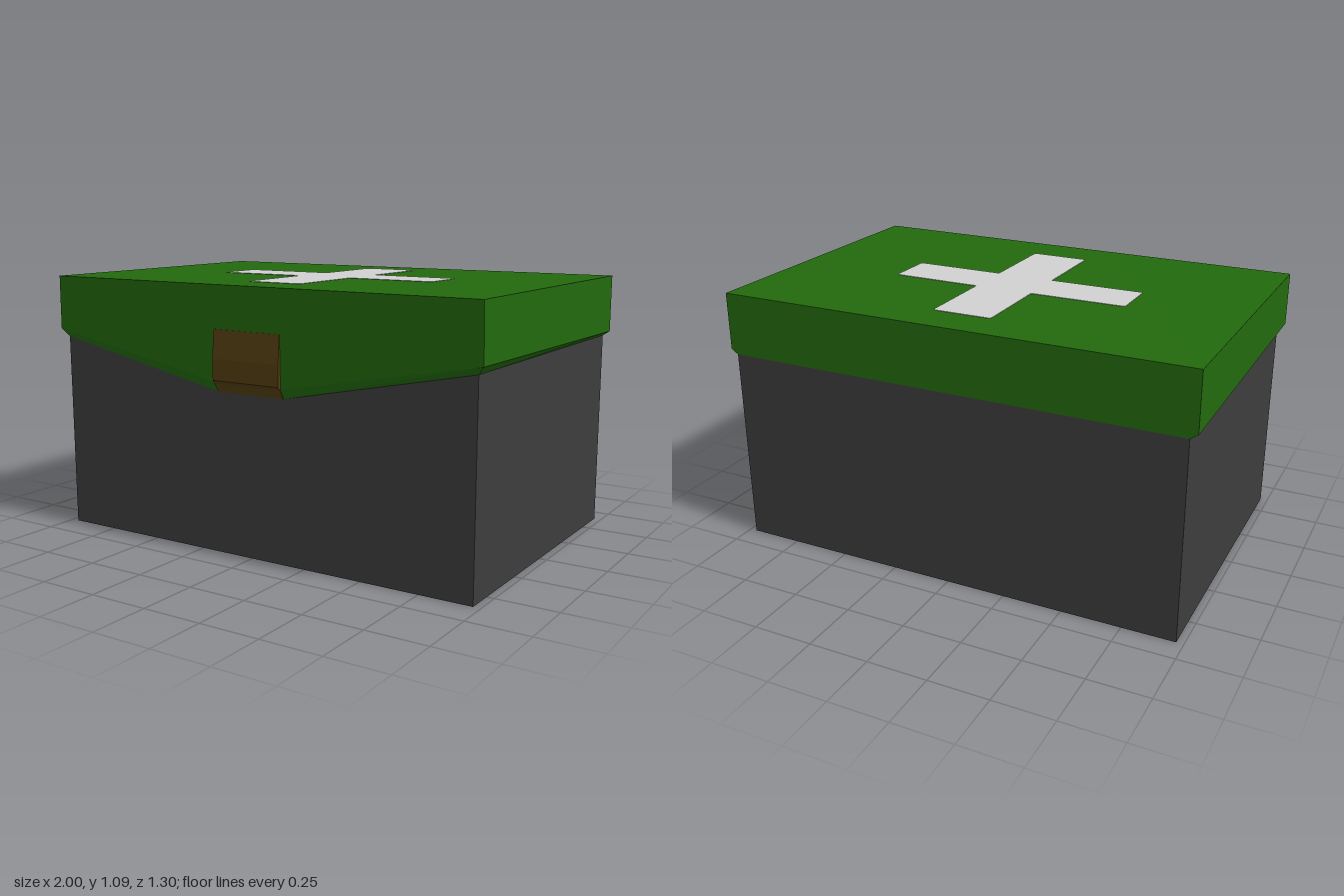
import * as THREE from 'three';

const material = (name, color) => {
  const m = new THREE.MeshStandardMaterial({ color });
  m.name = name;
  return m;
};

// Joins closed rings of points (top to bottom) with flat faces and caps the first ring.
function ringGeometry(rings) {
  const out = [];
  const tri = (a, b, c) => out.push(...a, ...b, ...c);
  const n = rings[0].length;
  for (let i = 1; i < n - 1; i++) tri(rings[0][0], rings[0][i], rings[0][i + 1]);
  for (let r = 0; r < rings.length - 1; r++) {
    for (let i = 0; i < n; i++) {
      const j = (i + 1) % n;
      const [a, b, c, d] = [rings[r][i], rings[r][j], rings[r + 1][i], rings[r + 1][j]];
      tri(a, c, b);
      tri(b, c, d);
    }
  }
  const g = new THREE.BufferGeometry();
  g.setAttribute('position', new THREE.Float32BufferAttribute(out, 3));
  g.computeVertexNormals();
  return g;
}

export function createModel() {
  const group = new THREE.Group();
  const green = material('green', 0x22690d);
  const grey = material('dark grey', 0x3e3d3e);
  const brown = material('brown', 0x533d11);
  const white = material('light grey', 0xd0d0d0);

  const add = (name, geometry, mat) => {
    const mesh = new THREE.Mesh(geometry, mat);
    mesh.name = name;
    group.add(mesh);
    return mesh;
  };

  // Plain case, flush with the lid at the back
  const body = add('body', new THREE.BoxGeometry(1.94, 0.83, 1.265), grey);
  body.position.set(0, 0.415, -0.0175);

  // Lid: top edge, outer rim with a pointed front flap, and bevel back to the case
  const top = [[-1, 1.09, -0.65], [-1, 1.09, 0.63], [-0.16, 1.09, 0.638],
    [0.16, 1.09, 0.641], [1, 1.09, 0.65], [1, 1.09, -0.65]];
  const rim = [[-1, 0.85, -0.65], [-1, 0.865, 0.632], [-0.16, 0.705, 0.634],
    [0.16, 0.705, 0.635], [1, 0.862, 0.64], [1, 0.85, -0.65]];
  const inner = [[-0.97, 0.83, -0.65], [-0.97, 0.83, 0.615], [-0.16, 0.665, 0.615],
    [0.16, 0.665, 0.615], [0.97, 0.83, 0.615], [0.97, 0.83, -0.65]];
  add('lid', ringGeometry([top, rim, inner]), green);

  // Clasp: side profile (z, y) swept across the flap
  const profile = [[0.64, 0.915], [0.6, 0.915], [0.6, 0.664], [0.618, 0.664],
    [0.638, 0.7], [0.65, 0.714], [0.65, 0.8]];
  const claspShape = new THREE.Shape(profile.map(([z, y]) => new THREE.Vector2(z, y)));
  const clasp = new THREE.ExtrudeGeometry(claspShape, { depth: 0.315, bevelEnabled: false });
  clasp.rotateY(-Math.PI / 2);
  clasp.translate(0.16, 0, 0);
  add('clasp', clasp, brown);

  // Cross on the lid (x, z), with slightly clipped arm ends
  const r = 0.008;
  const cross = [
    [-0.12, -0.48 + r], [-0.12 + r, -0.48], [0.13 - r, -0.48], [0.13, -0.48 + r],
    [0.13, -0.12], [0.515 - r, -0.115], [0.515, -0.115 + r], [0.515, 0.092 - r], [0.515 - r, 0.092],
    [0.13, 0.09], [0.13, 0.46 - r], [0.13 - r, 0.46], [-0.12 + r, 0.457], [-0.12, 0.457 - r],
    [-0.12, 0.088], [-0.525 + r, 0.088], [-0.525, 0.088 - r], [-0.525, -0.12 + r], [-0.525 + r, -0.12],
    [-0.12, -0.12],
  ];
  const crossShape = new THREE.Shape(cross.map(([x, z]) => new THREE.Vector2(x, z)));
  const plate = new THREE.ExtrudeGeometry(crossShape, { depth: 0.004, bevelEnabled: false });
  plate.rotateX(Math.PI / 2);
  plate.translate(0, 1.092, 0);
  add('lidCross', plate, white);

  return group;
}
